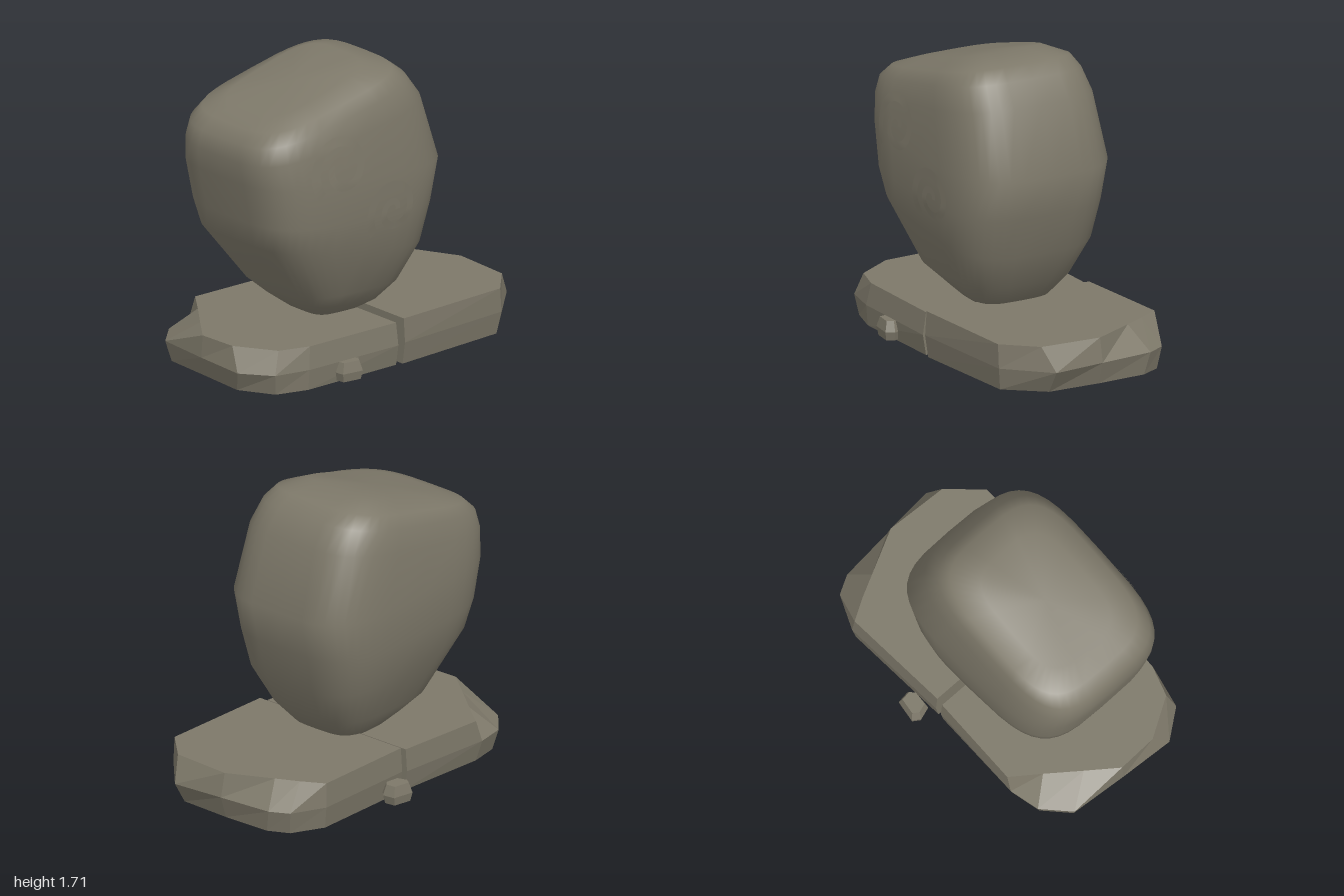
import * as THREE from 'three';

// Closed solid through rings of [x, y, z] points, bottom to top, counterclockwise from above
function loft(rings, flat) {
  const n = rings[0].length, pos = rings.flat(2), idx = [];
  const centre = (ring) => [0, 1, 2].map((k) => ring.reduce((s, p) => s + p[k], 0) / n);
  const last = rings.length - 1, bottom = rings.length * n, top = bottom + 1;
  pos.push(...centre(rings[0]), ...centre(rings[last]));
  for (let j = 0; j < n; j++) {
    const k = (j + 1) % n;
    for (let i = 0; i < last; i++) {
      const a = i * n + j, b = i * n + k, c = b + n, d = a + n;
      idx.push(a, b, c, a, c, d);
    }
    idx.push(bottom, k, j, top, last * n + j, last * n + k);
  }
  let g = new THREE.BufferGeometry();
  g.setAttribute('position', new THREE.Float32BufferAttribute(pos, 3));
  g.setIndex(idx);
  if (flat) g = g.toNonIndexed();
  g.computeVertexNormals();
  return g;
}

const level = (outline, y) => outline.map(([x, z]) => [x, y, z]);

// Rounded-rectangle ring, tilted so its left and right ends sit at different heights
function boulderRing([xl, yl, xr, yr, back, front]) {
  const ring = [], segments = 40, p = 2 / 3.8;
  for (let j = 0; j < segments; j++) {
    const t = (j / segments) * Math.PI * 2, c = Math.cos(t), s = -Math.sin(t);
    const u = Math.sign(c) * Math.abs(c) ** p, v = Math.sign(s) * Math.abs(s) ** p;
    const f = (u + 1) / 2;
    ring.push([xl + (xr - xl) * f, yl + (yr - yl) * f, (front + back) / 2 + ((front - back) / 2) * v]);
  }
  return ring;
}

// Spiral ribbon laid on the front of a mesh
function spiral(target, cx, cy, size) {
  const ray = new THREE.Raycaster(), pos = [], idx = [], steps = 40, across = 2;
  const dir = new THREE.Vector3(0, 0, -1);
  for (let i = 0; i <= steps; i++) {
    const f = i / steps, a = THREE.MathUtils.degToRad(222 - 582 * f);
    for (let j = 0; j <= across; j++) {
      const r = size * (0.2 - 0.175 * f + (j / across - 0.5) * (0.06 - 0.02 * f));
      const x = cx + r * Math.cos(a), y = cy + r * Math.sin(a);
      ray.set(new THREE.Vector3(x, y, 3), dir);
      const hit = ray.intersectObject(target)[0];
      pos.push(x, y, (hit ? hit.point.z : 0.5) + 0.005);
      if (i < steps && j < across) {
        const p = i * (across + 1) + j, q = p + across + 1;
        idx.push(p, p + 1, q, p + 1, q + 1, q);
      }
    }
  }
  // Ribbon runs clockwise, so flip the faces towards +z
  for (let k = 0; k < idx.length; k += 3) {
    const [a, b, c] = idx.slice(k, k + 3).map((m) => m * 3);
    const area = (pos[b] - pos[a]) * (pos[c + 1] - pos[a + 1]) - (pos[b + 1] - pos[a + 1]) * (pos[c] - pos[a]);
    if (area < 0) [idx[k + 1], idx[k + 2]] = [idx[k + 2], idx[k + 1]];
  }
  const g = new THREE.BufferGeometry();
  g.setAttribute('position', new THREE.Float32BufferAttribute(pos, 3));
  g.setIndex(idx);
  g.computeVertexNormals();
  return g;
}

export function createModel() {
  const model = new THREE.Group();
  const stone = new THREE.MeshStandardMaterial({ color: 0x7d7869 });
  stone.name = 'stone';
  const add = (name, geometry) => {
    const mesh = new THREE.Mesh(geometry, stone);
    mesh.name = name;
    model.add(mesh);
    return mesh;
  };

  // Boulder: left x, left y, right x, right y, back z, front z
  const boulder = add('boulder', loft([
    [-0.28, 0.25, 0.02, 0.23, -0.14, 0.2],
    [-0.4, 0.34, 0.15, 0.28, -0.22, 0.28],
    [-0.5, 0.43, 0.25, 0.4, -0.31, 0.38],
    [-0.77, 0.78, 0.37, 0.61, -0.42, 0.485],
    [-0.81, 0.93, 0.43, 0.85, -0.46, 0.52],
    [-0.86, 1.17, 0.49, 1.09, -0.475, 0.525],
    [-0.88, 1.3, 0.37, 1.48, -0.44, 0.5],
    [-0.86, 1.4, 0.28, 1.61, -0.41, 0.47],
    [-0.79, 1.47, 0.2, 1.675, -0.37, 0.42],
    [-0.67, 1.52, 0.03, 1.71, -0.25, 0.29],
  ].map(boulderRing), false));

  // Carved spirals on the boulder front
  boulder.updateMatrixWorld(true);
  add('upperSpiral', spiral(boulder, -0.385, 1.235, 1));
  add('lowerSpiral', spiral(boulder, -0.01, 0.91, 0.92));

  // Base slabs: bottom, widest and top outlines as [x, z]
  add('leftSlab', loft([
    level([[0.02, 0.56], [0.74, 0.53], [0.92, 0.32], [0.93, 0], [0.92, -0.3], [0.86, -0.42], [0.67, -0.51], [0.02, -0.48]], 0),
    level([[0.02, 0.58], [0.76, 0.55], [1, 0.32], [0.97, 0], [0.94, -0.33], [0.88, -0.44], [0.68, -0.53], [0.02, -0.5]], 0.13),
    level([[0.02, 0.57], [0.75, 0.55], [0.92, 0.37], [0.94, 0], [0.81, -0.26], [0.745, -0.39], [0.67, -0.52], [0.02, -0.49]], 0.27),
  ], true));
  add('rightSlab', loft([
    level([[-0.02, -0.48], [-0.6, -0.49], [-0.78, -0.45], [-0.92, -0.32], [-0.94, 0], [-0.96, 0.28], [-0.85, 0.48], [-0.66, 0.54], [-0.02, 0.55]], 0),
    level([[-0.02, -0.5], [-0.62, -0.52], [-0.8, -0.48], [-0.95, -0.34], [-0.98, 0], [-1, 0.33], [-0.87, 0.5], [-0.66, 0.55], [-0.02, 0.57]], 0.12),
    level([[-0.02, -0.49], [-0.58, -0.51], [-0.7, -0.35], [-0.84, -0.17], [-0.97, 0], [-0.96, 0.24], [-0.82, 0.47], [-0.64, 0.53], [-0.02, 0.55]], 0.25),
  ], true));

  // Pebbles leaning on the slabs
  const outline = [[0.085, 0.02], [0.06, -0.055], [-0.05, -0.065], [-0.085, -0.03], [-0.075, 0.045], [0.055, 0.065]];
  const scaled = (s) => outline.map(([x, z]) => [x * s, z * s]);
  for (const [name, x, z, turn] of [['frontPebble', -0.385, 0.56, 0], ['backPebble', 0.132, -0.565, Math.PI]]) {
    const pebble = add(name, loft([level(scaled(0.85), 0.01), level(scaled(1), 0.06), level(scaled(0.75), 0.12)], true));
    pebble.position.set(x, 0, z);
    pebble.rotation.y = turn;
  }
  return model;
}
